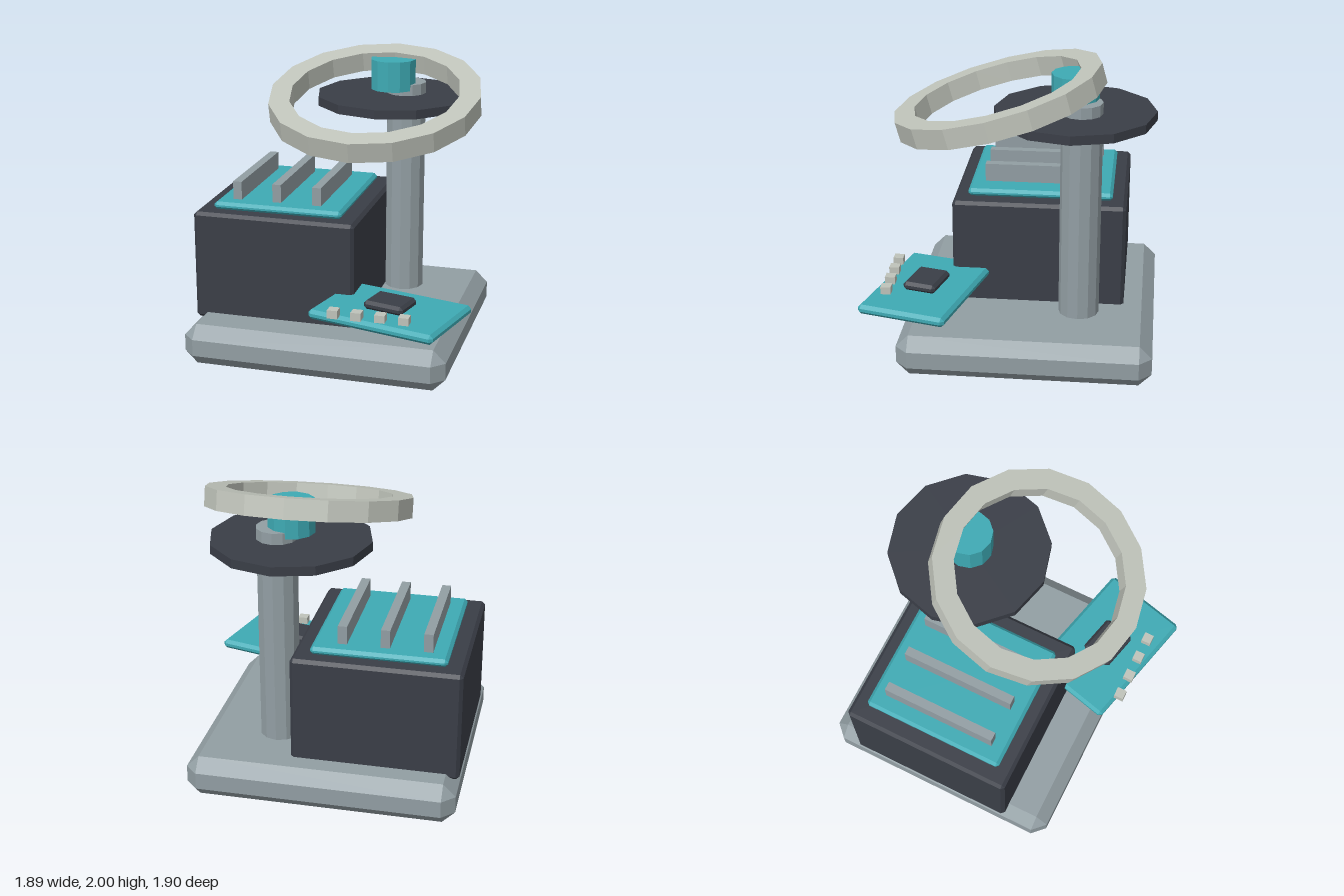
import * as THREE from 'three';
import { ConvexGeometry } from 'three/addons/geometries/ConvexGeometry.js';

const paint = (name, color) => {
  const m = new THREE.MeshStandardMaterial({ color, flatShading: true });
  m.name = name;
  return m;
};

// Box with every edge cut by a single flat chamfer
function chamferBox(w, h, d, c) {
  const pts = [];
  for (const sx of [-1, 1]) for (const sy of [-1, 1]) for (const sz of [-1, 1]) {
    const x = w / 2, y = h / 2, z = d / 2;
    pts.push(new THREE.Vector3(sx * x, sy * (y - c), sz * (z - c)));
    pts.push(new THREE.Vector3(sx * (x - c), sy * y, sz * (z - c)));
    pts.push(new THREE.Vector3(sx * (x - c), sy * (y - c), sz * z));
  }
  return new ConvexGeometry(pts);
}

export function createModel() {
  const model = new THREE.Group();
  const metal = paint('steel grey', 0x929ea3);
  const dark = paint('charcoal', 0x3a3e47);
  const teal = paint('teal', 0x3eaab4);
  const pale = paint('pale grey', 0xbfc3ba);

  const add = (name, geometry, material, x, y, z) => {
    const mesh = new THREE.Mesh(geometry, material);
    mesh.name = name;
    mesh.position.set(x, y, z);
    model.add(mesh);
    return mesh;
  };

  // Base slab and machine housing
  add('base', chamferBox(1.775, 0.28, 1.668, 0.083), metal, -0.057, 0.14, -0.112);
  add('housing', chamferBox(1.107, 0.75, 1.165, 0.022), dark, -0.392, 0.613, -0.157);

  // Cover plate with cooling fins
  add('coverPlate', chamferBox(0.885, 0.053, 0.975, 0.02), teal, -0.392, 1.012, -0.157);
  for (const x of [-0.698, -0.422, -0.144])
    add('fin', new THREE.BoxGeometry(0.06, 0.13, 0.78), metal, x, 1.097, -0.16);

  // Column, disc and hub
  add('column', new THREE.CylinderGeometry(0.135, 0.135, 1.47, 12), metal, 0.3, 1.03, -0.443);
  add('disc', new THREE.CylinderGeometry(0.525, 0.525, 0.06, 12), dark, 0.22, 1.66, -0.395);
  add('hub', new THREE.CylinderGeometry(0.155, 0.155, 0.205, 12), teal, 0.218, 1.826, -0.395);

  // Tilted ring with a rectangular section
  const inner = 0.557, outer = 0.694, half = 0.0665;
  const section = [[inner, -half], [outer, -half], [outer, half], [inner, half], [inner, -half]]
    .map(([r, y]) => new THREE.Vector2(r, y));
  add('ring', new THREE.LatheGeometry(section, 16), pale, 0.218, 1.751, 0.092).rotation.x = 0.268;

  // Angled circuit board with chip and row of pins
  const turn = -0.245;
  add('board', chamferBox(0.887, 0.065, 0.6, 0.022), teal, 0.443, 0.477, 0.558).rotation.y = turn;
  add('chip', chamferBox(0.28, 0.06, 0.225, 0.02), dark, 0.443, 0.537, 0.558).rotation.y = turn;
  for (let i = 0; i < 4; i++)
    add('pin', new THREE.BoxGeometry(0.067, 0.055, 0.067), pale, 0.135 + i * 0.153, 0.532, 0.8);

  return model;
}
